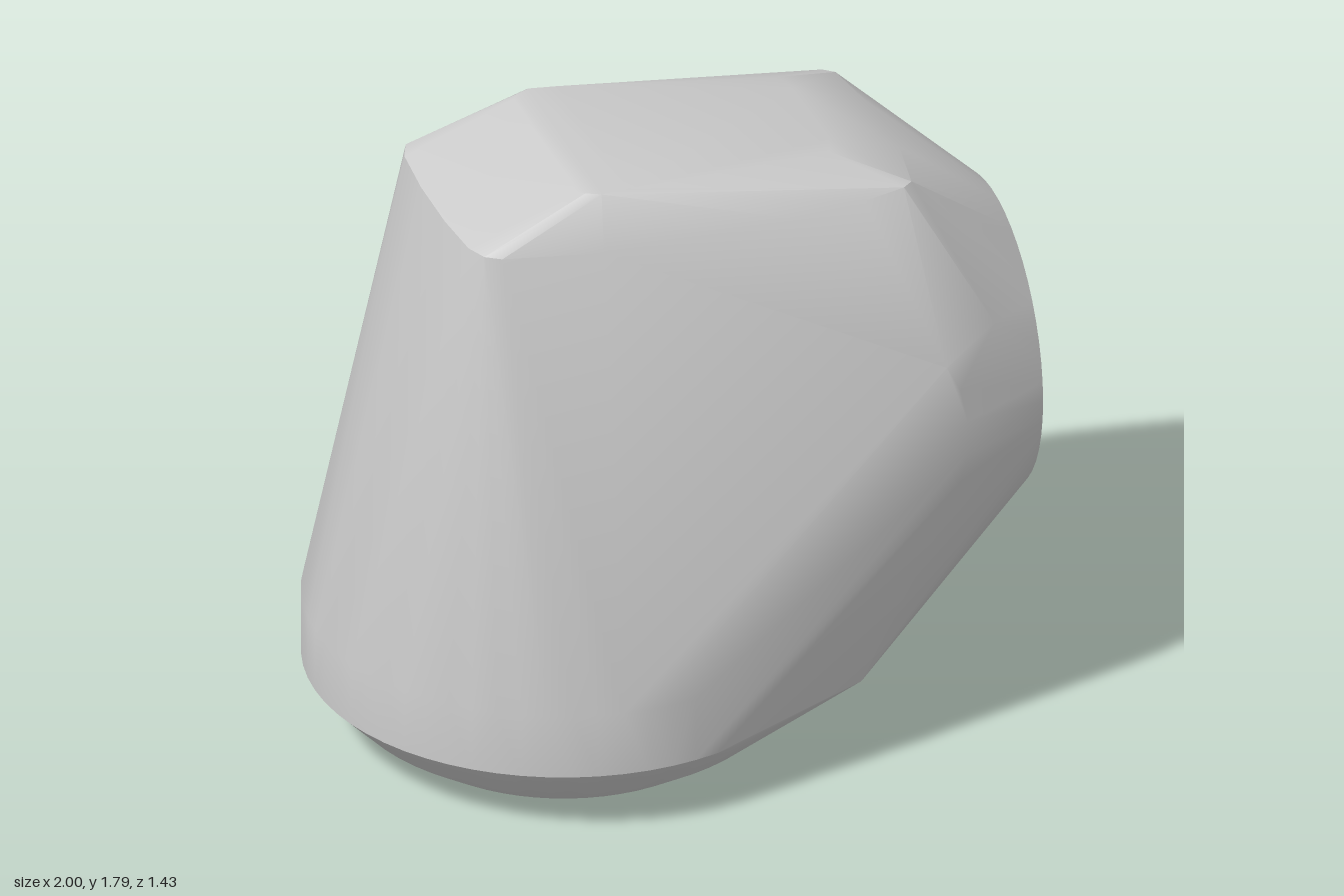
import * as THREE from 'three';
import { ConvexGeometry } from 'three/addons/geometries/ConvexGeometry.js';
import { toCreasedNormals } from 'three/addons/utils/BufferGeometryUtils.js';

const V = (x, y, z) => new THREE.Vector3(x, y, z);

export function createModel() {
  const group = new THREE.Group();
  const points = [];

  // Round foot: stacked horizontal rings [y, radius]
  for (const [y, r] of [[0, 0.48], [0.08, 0.6], [0.2, 0.717], [0.39, 0.717]]) {
    for (let i = 0; i < 64; i++) {
      const a = (i / 64) * Math.PI * 2;
      points.push(V(-0.283 + r * Math.cos(a), y, r * Math.sin(a)));
    }
  }

  // Round side face: upright rings [x, radius]
  for (const [x, r] of [[0.95, 0.435], [1, 0.18]]) {
    for (let i = 0; i < 48; i++) {
      const a = (i / 48) * Math.PI * 2;
      points.push(V(x, 0.98 + r * Math.cos(a), r * Math.sin(a)));
    }
  }

  // Shoulders, chin and crown, mirrored front to back
  const half = [
    // chin below the side face
    [0.38, 0.28, 0.57], [0.69, 0.33, 0.06],
    // shoulder arc around the side face
    [0.61, 0.71, 0.56], [0.67, 0.85, 0.56], [0.69, 0.93, 0.56],
    [0.69, 1.03, 0.56], [0.67, 1.13, 0.555], [0.8, 1.27, 0.465],
    // rim of the crown
    [-0.66, 1.66, 0.1], [-0.65, 1.665, 0.27], [-0.625, 1.665, 0.33], [-0.58, 1.66, 0.35],
    [-0.3, 1.65, 0.39], [0.27, 1.65, 0.39], [0.46, 1.66, 0.365],
    [0.58, 1.67, 0.345], [0.61, 1.67, 0.32], [0.64, 1.67, 0.13],
    // top plateau
    [-0.335, 1.785, 0.27], [-0.32, 1.787, 0.29], [-0.28, 1.787, 0.31],
    [-0.2, 1.785, 0.3], [0.43, 1.745, 0.15], [0.41, 1.745, 0.22],
  ];
  for (const [x, y, z] of half) points.push(V(x, y, z), V(x, y, -z));
  points.push(V(0.63, 1.21, 0.56));

  const body = new THREE.Mesh(
    toCreasedNormals(new ConvexGeometry(points), 0.5),
    new THREE.MeshStandardMaterial({ color: 0xcccccc })
  );
  body.name = 'body';
  group.add(body);
  return group;
}
